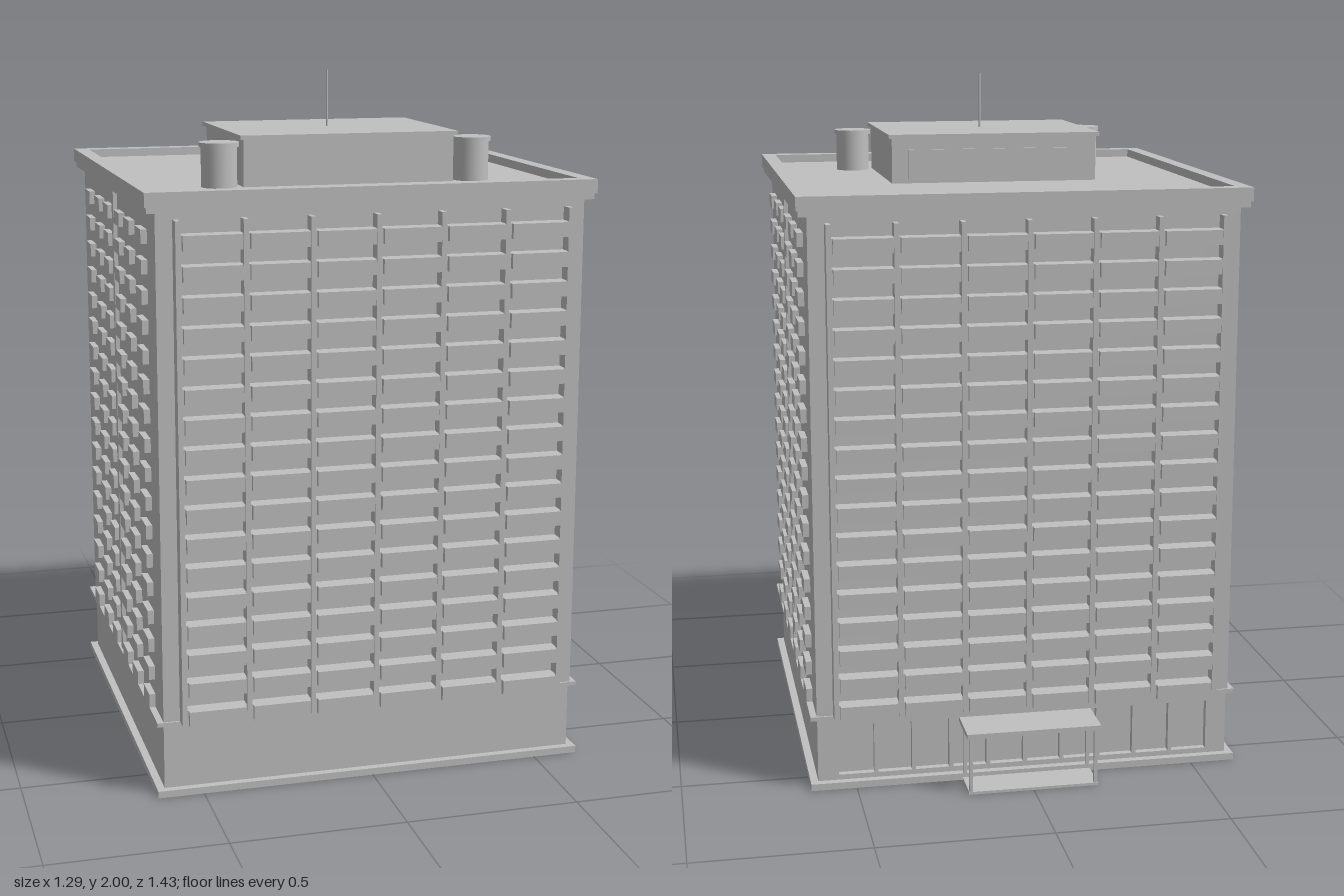
import * as THREE from 'three';

export function createModel() {
  const model = new THREE.Group();
  model.name = 'apartmentTower';
  const concrete = new THREE.MeshStandardMaterial({ color: 0xc0c0c0 });
  concrete.name = 'concrete grey';

  // Box given by its limits
  function box(name, x0, x1, y0, y1, z0, z1, parent = model) {
    const mesh = new THREE.Mesh(new THREE.BoxGeometry(x1 - x0, y1 - y0, z1 - z0), concrete);
    mesh.position.set((x0 + x1) / 2, (y0 + y1) / 2, (z0 + z1) / 2);
    mesh.name = name;
    parent.add(mesh);
    return mesh;
  }
  function cylinder(name, r, y0, y1, x, z, sides = 32) {
    const mesh = new THREE.Mesh(new THREE.CylinderGeometry(r, r, y1 - y0, sides), concrete);
    mesh.position.set(x, (y0 + y1) / 2, z);
    mesh.name = name;
    model.add(mesh);
  }
  function group(name) {
    const g = new THREE.Group();
    g.name = name;
    model.add(g);
    return g;
  }

  const ZC = 0.035; // centre line of the tower in depth
  const FLOORS = 17;
  const BOTTOM = 0.222;
  const STEP = 0.0836;

  // Ground floor and tower body
  box('plinth', -0.632, 0.632, 0, 0.02, -0.602, 0.672);
  box('groundFloor', -0.61, 0.61, 0.02, 0.21, -0.56, 0.65);
  box('floorLedge', -0.63, 0.63, 0.21, 0.222, -0.595, 0.665);
  box('towerBody', -0.612, 0.612, 0.222, 1.66, -0.59, 0.66);

  // Shopfront frame at the back of the ground floor
  const shopfront = group('shopfront');
  box('topRail', -0.61, 0.61, 0.185, 0.21, -0.58, -0.56, shopfront);
  box('bottomRail', -0.61, 0.61, 0.02, 0.035, -0.58, -0.56, shopfront);
  for (const s of [-1, 1]) {
    box('endPier', s * 0.58 - 0.03, s * 0.58 + 0.03, 0.035, 0.185, -0.58, -0.56, shopfront);
  }
  for (let i = 1; i < 10; i++) {
    const x = -0.55 + i * 0.11;
    box('mullion', x - 0.006, x + 0.006, 0.035, 0.185, -0.58, -0.56, shopfront);
  }

  // Fins and balconies on the front and back
  for (const side of [1, -1]) {
    const facade = group(side > 0 ? 'frontFacade' : 'backFacade');
    const slab = (name, x0, x1, y0, y1, depth) => {
      const a = ZC + side * 0.62, b = ZC + side * depth;
      box(name, x0, x1, y0, y1, Math.min(a, b), Math.max(a, b), facade);
    };
    for (let i = -3; i <= 3; i++) {
      const x = i * 0.186;
      slab('fin', x - 0.007, x + 0.007, BOTTOM, 1.64, 0.666);
      if (i === 3) continue;
      for (let f = 0; f < FLOORS; f++) {
        const y = BOTTOM + f * STEP;
        slab('balcony', x + 0.007, x + 0.179, y, y + 0.042, 0.662);
        slab('balconyFront', x + 0.011, x + 0.175, y, y + 0.042, 0.677);
      }
    }
  }

  // Pilaster and window boxes on both sides
  for (const side of [1, -1]) {
    const wall = group(side > 0 ? 'leftWall' : 'rightWall');
    const plate = (name, depth, y0, y1, z0, z1) => {
      const a = side * 0.605, b = side * depth;
      box(name, Math.min(a, b), Math.max(a, b), y0, y1, z0, z1, wall);
    };
    plate('pilaster', 0.624, BOTTOM, 1.66, ZC - 0.013, ZC + 0.013);
    for (const d of [-0.46, -0.27, -0.1, 0.1, 0.27, 0.46]) {
      for (let f = 0; f < FLOORS; f++) {
        const y = BOTTOM + f * STEP;
        plate('windowBox', 0.63, y, y + 0.04, ZC + d - 0.045, ZC + d + 0.045);
      }
    }
  }

  // Cornice, flat roof and low parapet
  box('cornice', -0.637, 0.637, 1.658, 1.69, -0.602, 0.672);
  const ring = new THREE.Shape();
  const rect = (p, w, d) => p.moveTo(-w, -d).lineTo(w, -d).lineTo(w, d).lineTo(-w, d).closePath();
  rect(ring, 0.643, 0.645);
  const hole = new THREE.Path();
  rect(hole, 0.6, 0.6);
  ring.holes.push(hole);
  const parapet = new THREE.Mesh(
    new THREE.ExtrudeGeometry(ring, { depth: 0.04, bevelEnabled: false }), concrete);
  parapet.rotation.x = -Math.PI / 2;
  parapet.position.set(0, 1.675, ZC);
  parapet.name = 'parapet';
  model.add(parapet);

  // Roof house with cap, back panel and mast
  box('roofHouse', -0.31, 0.31, 1.69, 1.825, -0.09, 0.405);
  box('roofHouseCap', -0.32, 0.32, 1.823, 1.835, -0.1, 0.415);
  box('roofHousePanel', -0.26, 0.26, 1.7, 1.79, -0.097, -0.09);
  cylinder('mast', 0.003, 1.835, 2, 0, 0.16, 8);

  // Round tanks
  for (const s of [-1, 1]) {
    cylinder('tank', 0.051, 1.69, 1.805, s * 0.374, 0.375);
    cylinder('tankLid', 0.057, 1.803, 1.816, s * 0.374, 0.375);
  }

  // Entrance porch at the back
  const porch = group('porch');
  box('porchFloor', -0.19, 0.19, 0, 0.008, -0.71, -0.6, porch);
  box('porchCanopy', -0.196, 0.196, 0.172, 0.186, -0.717, -0.575, porch);
  for (const s of [-1, 1]) {
    for (const z of [-0.703, -0.598]) {
      box('porchPost', s * 0.183 - 0.005, s * 0.183 + 0.005, 0.008, 0.172, z - 0.005, z + 0.005, porch);
    }
  }
  return model;
}
